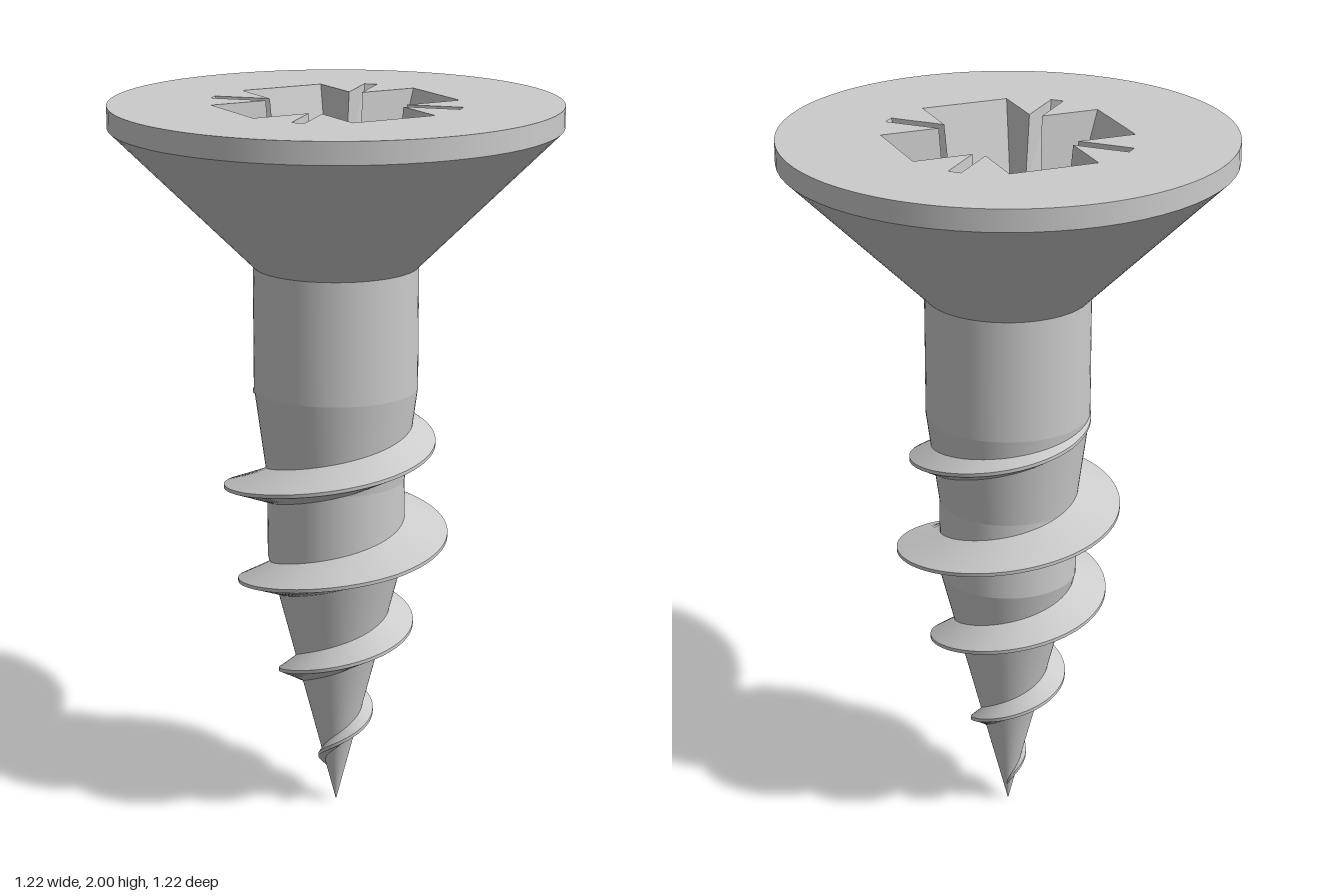
import * as THREE from 'three';

const material = new THREE.MeshStandardMaterial({ color: 0xcccccc });
const SEGMENTS = 64;

// Body outline from tip to head: [name of the section above the point, radius, height]
const OUTLINE = [
  ['tip', 0, 0], ['threadedCore', 0.19, 0.74], ['coreTaper', 0.19, 0.96],
  ['shank', 0.225, 1.22], ['headCone', 0.225, 1.56], ['headRim', 0.61, 1.94], ['', 0.61, 2],
];
// Crest radius of the thread: [radius, height]
const CREST = [[0.012, 0.05], [0.06, 0.16], [0.31, 0.76], [0.31, 0.965], [0.222, 1.225]];

function radiusAt(table, y) {
  for (let i = 1; i < table.length; i++) {
    const [r0, y0] = table[i - 1], [r1, y1] = table[i];
    if (y <= y1) return THREE.MathUtils.mapLinear(Math.max(y, y0), y0, y1, r0, r1);
  }
  return table[table.length - 1][0];
}
const CORE = OUTLINE.map(([, r, y]) => [r, y]);

function addMesh(group, name, geometry) {
  const mesh = new THREE.Mesh(geometry, material);
  mesh.name = name;
  group.add(mesh);
}

function geometryFrom(positions, index) {
  const g = new THREE.BufferGeometry();
  g.setAttribute('position', new THREE.Float32BufferAttribute(positions, 3));
  if (index) g.setIndex(index);
  g.computeVertexNormals();
  return g;
}

// Helical ridge: three smooth strips (lower flank, crest, upper flank) with hard edges between
function threadGeometry() {
  const pitch = 0.27, start = 0.06, end = 1.22, steps = 420;
  const positions = [], index = [];
  const section = (y) => {
    const crest = radiusAt(CREST, y);
    const depth = Math.max(0, crest - radiusAt(CORE, y));
    const h = 0.052 * Math.min(1, 0.25 + depth / 0.1);
    const root = (v) => [radiusAt(CORE, v) - 0.006, v];
    return [root(y - h), [crest, y - 0.005], [crest, y + 0.005], root(y + h)];
  };
  for (let k = 0; k < 3; k++) {
    for (let i = 0; i <= steps; i++) {
      const y = THREE.MathUtils.lerp(start, end, i / steps);
      const a = (y - 0.825) / pitch * Math.PI * 2;
      const p = section(y);
      for (const [r, v] of [p[k], p[k + 1]]) positions.push(r * Math.cos(a), v, -r * Math.sin(a));
      if (i < steps) {
        const n = (k * (steps + 1) + i) * 2;
        index.push(n, n + 2, n + 3, n, n + 3, n + 1);
      }
    }
  }
  return geometryFrom(positions, index);
}

// Cross outline with a narrow diagonal slot in each inner corner.
// reach: arm length, w: arm half width, mouth / h: slot half width inside / outside, slot: slot reach
function crossOutline(reach, w, mouth, h, slot) {
  const quarter = [];
  for (let i = 0; i <= 6; i++) quarter.push([reach, w * (i / 3 - 1)]);
  const m = w + mouth * Math.SQRT2;
  const far = (slot + h) * Math.SQRT1_2, near = (slot - h) * Math.SQRT1_2;
  quarter.push([m, w], [far, near], [near, far], [w, m]);
  const points = [];
  for (let q = 0; q < 4; q++) {
    const c = [1, 0, -1, 0][q], s = [0, 1, 0, -1][q];
    for (const [x, y] of quarter) points.push(new THREE.Vector2(c * x - s * y, s * x + c * y));
  }
  return points;
}

// Flat-sided drive recess lofted through outlines of falling height
function recessGeometry(levels) {
  const positions = [];
  const put = (level, i) => {
    const p = level.points[i];
    positions.push(p.x, level.y, -p.y);
  };
  for (let l = 0; l + 1 < levels.length; l++) {
    const a = levels[l], b = levels[l + 1], n = a.points.length;
    for (let i = 0; i < n; i++) {
      const j = (i + 1) % n;
      put(a, i); put(a, j); put(b, j);
      put(a, i); put(b, j); put(b, i);
    }
  }
  return geometryFrom(positions);
}

export function createModel() {
  const group = new THREE.Group();
  group.name = 'woodScrew';

  // Turned body, one lathe per section so the breaks stay sharp
  for (let i = 0; i + 1 < OUTLINE.length; i++) {
    const pair = [OUTLINE[i], OUTLINE[i + 1]].map(([, r, y]) => new THREE.Vector2(r, y));
    addMesh(group, OUTLINE[i][0], new THREE.LatheGeometry(pair, SEGMENTS));
  }

  addMesh(group, 'thread', threadGeometry());

  // Head top with the recess opening cut out
  const opening = crossOutline(0.31, 0.122, 0.018, 0.018, 0.345);
  const disc = new THREE.Shape().absarc(0, 0, 0.61, 0, Math.PI * 2);
  disc.holes.push(new THREE.Path(opening.slice().reverse()));
  const top = new THREE.ShapeGeometry(disc, SEGMENTS);
  top.rotateX(-Math.PI / 2).translate(0, 2, 0);
  addMesh(group, 'headTop', top);

  // Recess: tapering walls, slot ledge, floor, then a shallow cone
  const floor = crossOutline(0.185, 0.09, 0.03, 0.017, 0.16);
  const circle = floor.map((p) => p.clone().setLength(0.16));
  addMesh(group, 'driveRecess', recessGeometry([
    { y: 2, points: opening },
    { y: 1.8, points: crossOutline(0.2475, 0.106, 0.022, 0.012, 0.295) },
    { y: 1.8, points: crossOutline(0.2475, 0.106, 0.022, 0.012, 0.182) },
    { y: 1.6, points: floor },
    { y: 1.6, points: circle },
  ]));
  const pit = [new THREE.Vector2(0.16, 1.6), new THREE.Vector2(0, 1.54)];
  addMesh(group, 'recessCone', new THREE.LatheGeometry(pit, 48));

  return group;
}
